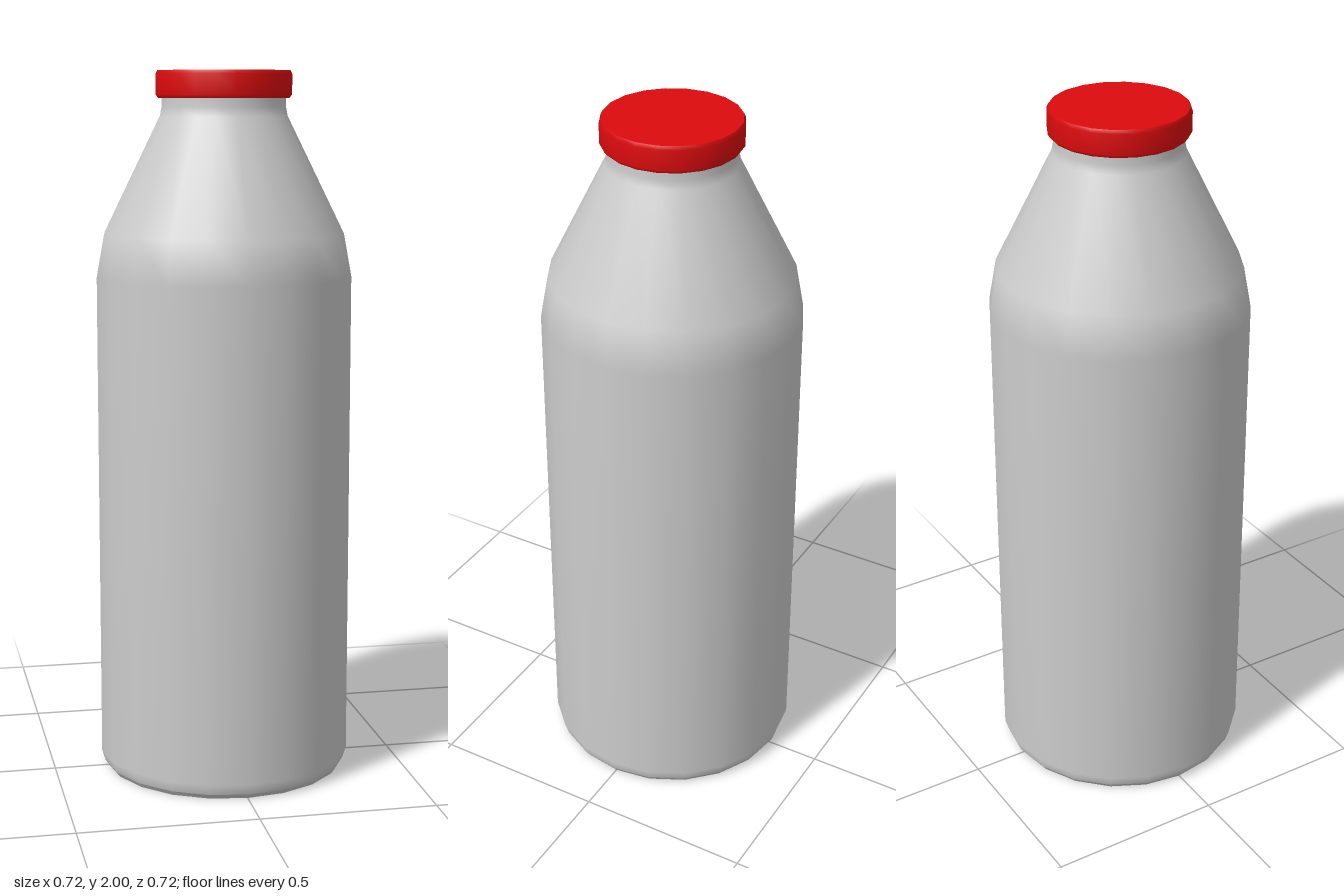
import * as THREE from 'three';
import { mergeGeometries } from 'three/addons/utils/BufferGeometryUtils.js';

const SIDES = 20;

// Each profile is [radius, height] pairs; separate profiles meet in a sharp edge.
function turned(name, color, profiles) {
  const parts = profiles.map((profile) =>
    new THREE.LatheGeometry(profile.map(([r, y]) => new THREE.Vector2(r, y)), SIDES));
  const mesh = new THREE.Mesh(
    mergeGeometries(parts),
    new THREE.MeshStandardMaterial({ color }),
  );
  mesh.name = name;
  return mesh;
}

export function createModel() {
  const group = new THREE.Group();
  group.name = 'bottle';

  // Base disc, rounded foot, straight wall, sloping shoulder and short neck
  group.add(turned('bottleBody', 0xcccccc, [
    [[0, 0], [0.342, 0]],
    [[0.342, 0], [0.352, 0.014]],
    [[0.352, 0.014], [0.362, 0.045], [0.362, 1.43], [0.34, 1.55], [0.18, 1.875], [0.175, 1.9], [0.175, 1.93]],
  ]));

  // Cap with narrow bevels at its top and bottom rims
  group.add(turned('cap', 0xdd0b0e, [
    [[0, 1.924], [0.184, 1.924]],
    [[0.184, 1.924], [0.192, 1.934], [0.192, 1.99], [0.187, 2]],
    [[0.187, 2], [0, 2]],
  ]));

  return group;
}
